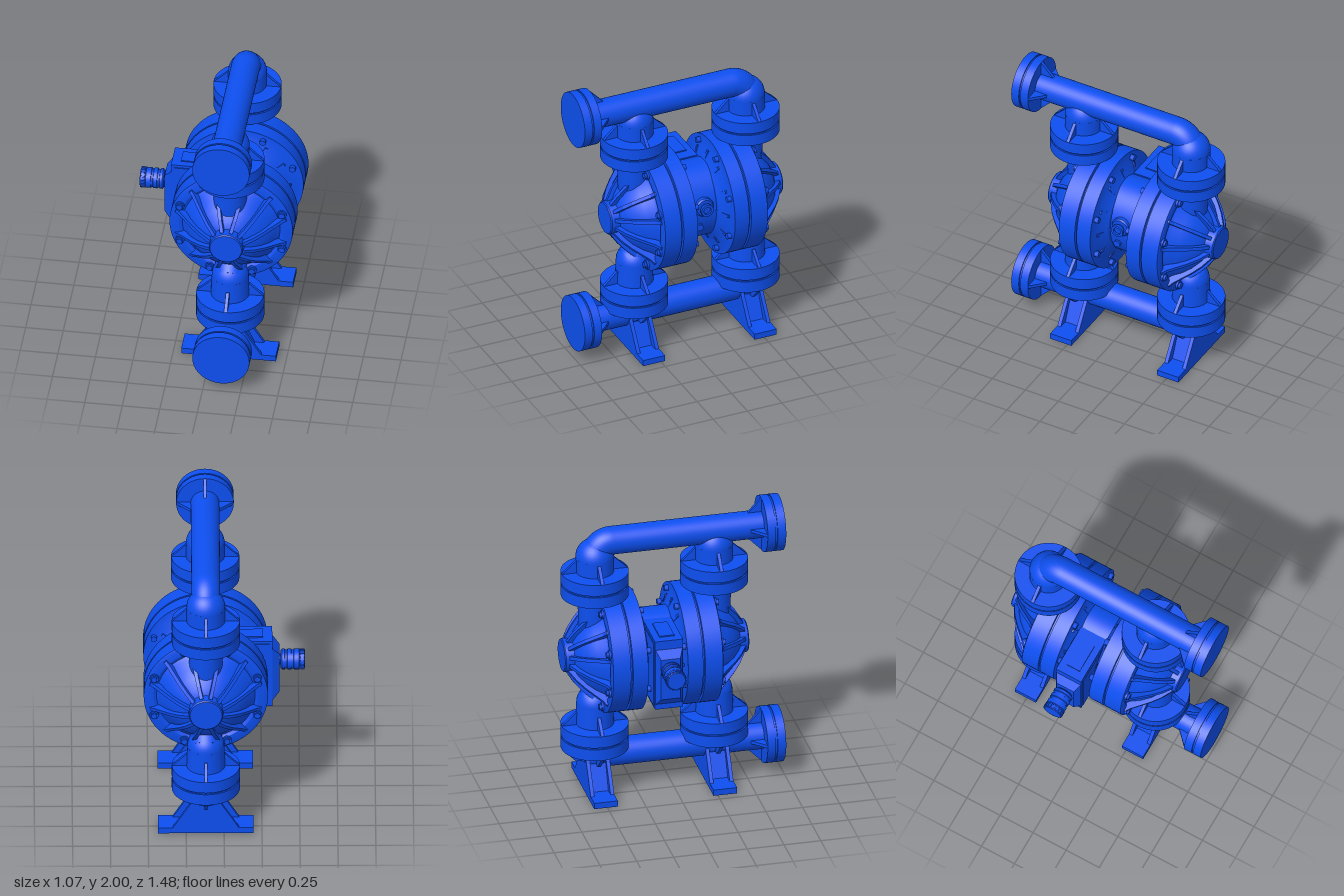
import * as THREE from 'three';
import { toCreasedNormals } from 'three/addons/utils/BufferGeometryUtils.js';

const mat = new THREE.MeshStandardMaterial({ color: 0x0d4ff0 });
const AX = 0.12;                 // x of the pump's centre line
const MID = -0.11;               // z of the middle of the pump
const STACKS = [0.30, -0.51];    // z of the vertical pipes

function add(parent, name, geo, x = 0, y = 0, z = 0) {
  const m = new THREE.Mesh(geo, mat);
  m.name = name;
  m.position.set(x, y, z);
  parent.add(m);
  return m;
}
const box = (w, h, d) => new THREE.BoxGeometry(w, h, d);
const cyl = (r1, r2, h, n = 40) => new THREE.CylinderGeometry(r1, r2, h, n);
const lathe = (pts, n = 64) =>
  toCreasedNormals(new THREE.LatheGeometry(pts.map(p => new THREE.Vector2(...p)), n), 0.5);
// flat plate, centred on its thickness
function plate(pts, t) {
  const shape = new THREE.Shape(pts.map(p => new THREE.Vector2(...p)));
  return new THREE.ExtrudeGeometry(shape, { depth: t, bevelEnabled: false }).translate(0, 0, -t / 2);
}

// pair of flanges with a groove between them and four gussets per side, axis +y
function flange(parent, name, r, h, hub, above, below) {
  const g = new THREE.Group();
  g.name = name;
  const a = h / 2 - 0.006, b = h / 2 + 0.006;
  add(g, 'flangeDiscs', lathe([[0, 0], [r, 0], [r, a], [r * 0.95, a], [r * 0.95, b], [r, b], [r, h], [0, h]]));
  for (let i = 0; i < 4; i++) {
    const tri = (y, len) => plate([[0, y], [r * 0.99, y], [hub, y + len], [0, y + len]], 0.022);
    if (above) add(g, 'gusset', tri(h, above)).rotation.y = i * Math.PI / 2;
    if (below) add(g, 'gusset', plate([[0, -below], [hub, -below], [r * 0.99, 0], [0, 0]], 0.022))
      .rotation.y = i * Math.PI / 2;
  }
  parent.add(g);
  return g;
}

// one diaphragm chamber, outward along +z from the middle of the pump
function chamber(name) {
  const g = new THREE.Group();
  g.name = name;
  add(g, 'chamberShell', lathe([
    [0, 0.085], [0.25, 0.085], [0.33, 0.13], [0.41, 0.135], [0.41, 0.238], [0.39, 0.24], [0.39, 0.25],
    [0.41, 0.252], [0.41, 0.372], [0.4, 0.377], [0.345, 0.377], [0.325, 0.365], [0.305, 0.385],
    [0.27, 0.44], [0.22, 0.495], [0.16, 0.54], [0.1, 0.57], [0, 0.575]], 72).rotateX(Math.PI / 2));
  add(g, 'endCap', lathe([[0, 0.55], [0.118, 0.55], [0.112, 0.618], [0.105, 0.625], [0, 0.625]], 40)
    .rotateX(Math.PI / 2));
  const rib = [[0.08, 0.5], [0.25, 0.36], [0.385, 0.36], [0.38, 0.385], [0.35, 0.405], [0.3, 0.455],
    [0.25, 0.505], [0.19, 0.555], [0.12, 0.598], [0.08, 0.6]];
  for (let i = 0; i < 12; i++) {
    const geo = plate(rib, 0.024).rotateX(Math.PI / 2).rotateZ((i + 0.5) * Math.PI / 6);
    add(g, 'chamberRib', geo);
  }
  for (let i = 0; i < 8; i++) {
    const t = (i + 0.5) * Math.PI / 4, x = 0.368 * Math.cos(t), y = 0.368 * Math.sin(t);
    add(g, 'washer', cyl(0.03, 0.03, 0.02, 20).rotateX(Math.PI / 2), x, y, 0.38);
    add(g, 'boltHead', cyl(0.022, 0.022, 0.04, 6).rotateX(Math.PI / 2), x, y, 0.385);
    add(g, 'nut', cyl(0.022, 0.022, 0.04, 6).rotateX(Math.PI / 2), x, y, 0.125);
  }
  // short ribs on the inner plate
  for (let i = 0; i < 12; i++)
    add(g, 'innerRib', plate([[0.2, 0.07], [0.33, 0.12], [0.33, 0.14], [0.2, 0.14]], 0.02)
      .rotateX(Math.PI / 2).rotateZ(i * Math.PI / 6));
  return g;
}

// horizontal pipe with a bend (dir -1 down, +1 up) and an end flange
function manifold(parent, name, y, dir) {
  const g = new THREE.Group();
  g.name = name;
  const v = (yy, z) => new THREE.Vector3(AX, yy, z);
  const path = new THREE.CurvePath();
  path.add(new THREE.LineCurve3(v(y, 0.64), v(y, -0.4)));
  path.add(new THREE.CubicBezierCurve3(v(y, -0.4), v(y, -0.46), v(y + dir * 0.05, -0.51), v(y + dir * 0.11, -0.51)));
  path.add(new THREE.LineCurve3(v(y + dir * 0.11, -0.51), v(y + dir * 0.2, -0.51)));
  add(g, 'manifoldPipe', new THREE.TubeGeometry(path, 90, 0.095, 32));
  const f = flange(g, 'endFlange', 0.19, 0.125, 0.095, 0, 0.09);
  f.rotation.x = Math.PI / 2;
  f.position.set(AX, y, 0.62);
  parent.add(g);
}

export function createModel() {
  const root = new THREE.Group();
  root.name = 'diaphragmPump';

  // chambers
  for (const [name, turn] of [['frontChamber', 0], ['rearChamber', Math.PI]]) {
    const c = chamber(name);
    c.position.set(AX, 1, MID);
    c.rotation.y = turn;
    root.add(c);
  }

  // upper and lower manifolds
  manifold(root, 'upperManifold', 1.81, -1);
  manifold(root, 'lowerManifold', 0.25, 1);

  // vertical pipes, flanges and feet
  for (const z of STACKS) {
    const ball = r => new THREE.SphereGeometry(r, 32, 20);
    add(root, 'upperRiser', cyl(0.128, 0.128, 0.12), AX, 1.645, z);
    add(root, 'upperRiserDome', ball(0.128), AX, 1.703, z);
    add(root, 'outletNeck', cyl(0.115, 0.108, 0.26), AX, 1.31, z);
    add(root, 'outletNeckEnd', ball(0.108), AX, 1.2, z);
    add(root, 'inletNeck', cyl(0.122, 0.128, 0.16), AX, 0.55, z);
    add(root, 'inletNeckEnd', ball(0.122), AX, 0.63, z);
    const inward = z > MID ? -1 : 1;
    for (const [y, tilt] of [[1.19, 1], [0.68, -1]]) {
      const elbow = add(root, 'neckElbow', cyl(0.105, 0.105, 0.2, 32), AX, y - 0.03 * tilt, z + inward * 0.05);
      elbow.rotation.x = -inward * tilt * Math.PI / 4;
    }
    add(root, 'lowerRiser', cyl(0.115, 0.1, 0.1), AX, 0.27, z);
    flange(root, 'upperFlange', 0.225, 0.172, 0.128, 0.09, 0.045).position.set(AX, 1.43, z);
    flange(root, 'lowerFlange', 0.225, 0.176, 0.128, 0.09, 0.095).position.set(AX, 0.305, z);

    const foot = new THREE.Group();
    foot.name = 'foot';
    foot.position.set(AX, 0, z);
    add(foot, 'footBase', box(0.63, 0.042, 0.16), 0, 0.021, 0);
    const leg = (b, t) => [[-b, 0.03], [b, 0.03], [t, 0.26], [-t, 0.26]];
    for (const s of [-1, 1]) add(foot, 'footSidePlate', plate(leg(0.225, 0.08), 0.025), 0, 0, s * 0.0675);
    add(foot, 'footCore', plate(leg(0.16, 0.06), 0.12));
    root.add(foot);
  }

  // centre body with side port
  const body = add(root, 'centreBody', cyl(0.225, 0.225, 0.23, 64).rotateX(Math.PI / 2), AX, 1, MID);
  body.scale.y = 1.2;
  const port = new THREE.Group();
  port.name = 'airPort';
  port.position.set(0.3, 1.05, MID + 0.005);
  port.rotation.z = -Math.PI / 2;
  add(port, 'portBoss', lathe([[0, 0], [0.066, 0], [0.066, 0.05], [0.058, 0.06], [0, 0.06]], 32));
  add(port, 'portPlug', lathe([[0, 0.06], [0.03, 0.06], [0.03, 0.078], [0.044, 0.08], [0.044, 0.1],
    [0.026, 0.1], [0.026, 0.085], [0, 0.085]], 32));
  root.add(port);
  add(root, 'drainPlug', cyl(0.026, 0.026, 0.06, 6).rotateZ(Math.PI / 2), 0.32, 0.9, -0.075);

  // valve housing on the right-hand side
  add(root, 'valveHousing', box(0.34, 0.5, 0.19), -0.15, 1, -0.113);
  for (const s of [-1, 1]) {
    add(root, 'housingRidge', box(0.26, 0.46, 0.016), -0.17, 1, -0.113 + s * 0.093);
    add(root, 'housingRail', box(0.2, 0.012, 0.1), -0.16, 1 + s * 0.252, -0.113);
  }
  const cover = box(0.05, 0.405, 0.185);
  const p = cover.attributes.position;
  for (let i = 0; i < p.count; i++)
    if (p.getX(i) < 0) p.setXYZ(i, p.getX(i), p.getY(i) * 0.72, p.getZ(i) * 0.7);
  cover.computeVertexNormals();
  add(root, 'valveCover', cover, -0.342, 0.988, -0.113);

  // exhaust muffler
  const muffler = add(root, 'muffler', lathe([
    [0, 0], [0.035, 0], [0.035, 0.025], [0.058, 0.025], [0.068, 0.035], [0.068, 0.052], [0.062, 0.055],
    [0.062, 0.068], [0.068, 0.07], [0.068, 0.095], [0.062, 0.098], [0.062, 0.11], [0.068, 0.112],
    [0.068, 0.145], [0.06, 0.15], [0.066, 0.155], [0.066, 0.18], [0.06, 0.185], [0, 0.185]], 36),
    -0.35, 1.055, -0.115);
  muffler.rotation.z = Math.PI / 2;
  for (let i = 0; i < 18; i++) {
    const t = i * Math.PI / 9;
    add(root, 'mufflerGrip', box(0.034, 0.012, 0.012).rotateX(t),
      -0.515, 1.055 + 0.064 * Math.cos(t), -0.115 + 0.064 * Math.sin(t));
  }
  return root;
}
